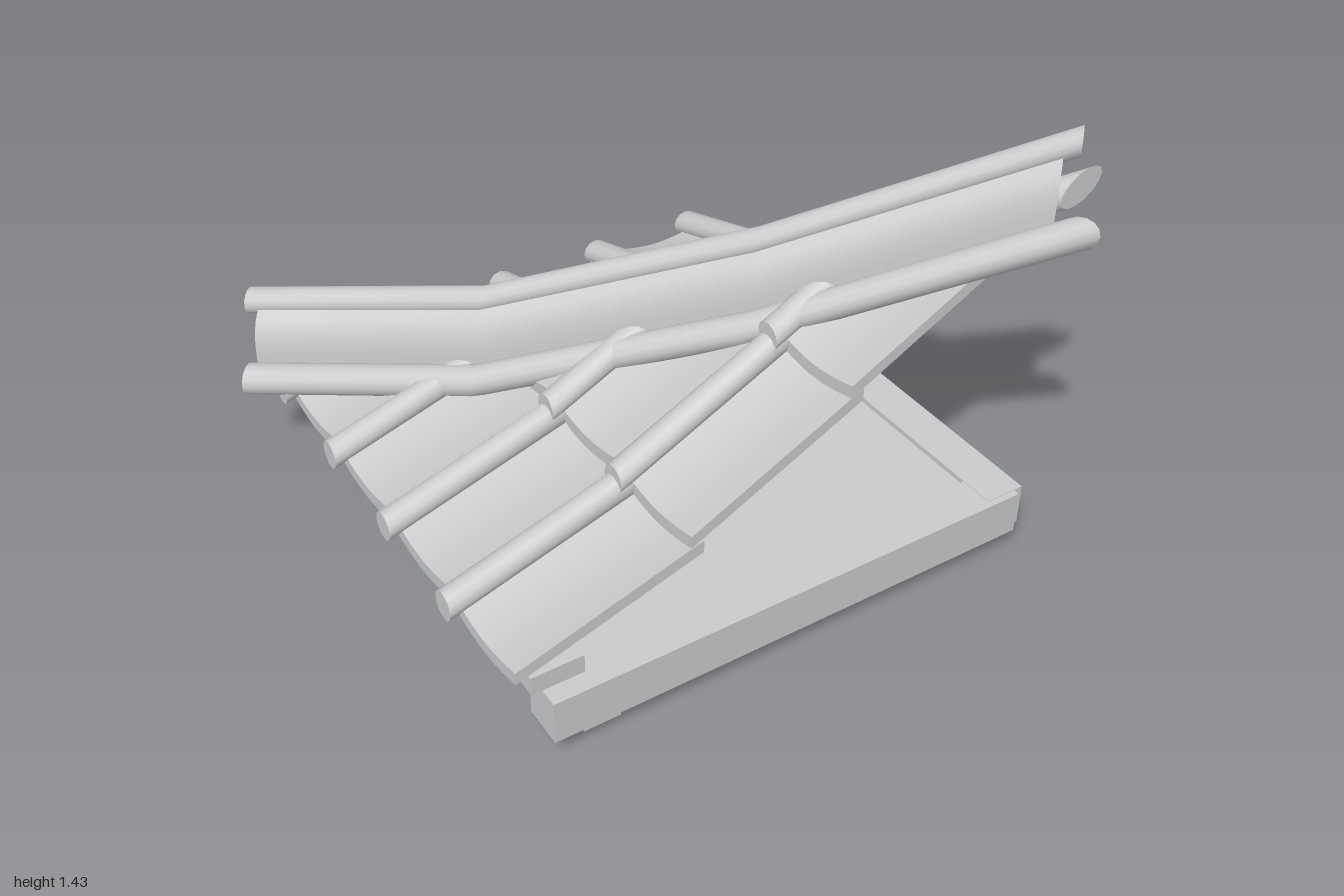
import * as THREE from 'three';
import { toCreasedNormals } from 'three/addons/utils/BufferGeometryUtils.js';

const material = new THREE.MeshStandardMaterial({ color: 0xcccccc, side: THREE.DoubleSide });

function addMesh(parent, name, geometry) {
  const mesh = new THREE.Mesh(geometry, material);
  mesh.name = name;
  parent.add(mesh);
  return mesh;
}

// Box given by its lower and upper corners
function addBox(parent, name, [x0, y0, z0], [x1, y1, z1]) {
  const mesh = addMesh(parent, name, new THREE.BoxGeometry(x1 - x0, y1 - y0, z1 - z0));
  mesh.position.set((x0 + x1) / 2, (y0 + y1) / 2, (z0 + z1) / 2);
}

// Closed skin through a row of equal-sized rings, capped at both ends
function loft(rings) {
  const n = rings[0].length;
  const positions = rings.flat(2);
  const index = [];
  for (let i = 0; i < rings.length - 1; i++) {
    for (let k = 0; k < n; k++) {
      const a = i * n + k, b = i * n + (k + 1) % n;
      index.push(a, a + n, b + n, a, b + n, b);
    }
  }
  const last = (rings.length - 1) * n;
  for (let k = 1; k < n - 1; k++) {
    index.push(0, k, k + 1, last, last + k + 1, last + k);
  }
  const geometry = new THREE.BufferGeometry();
  geometry.setAttribute('position', new THREE.Float32BufferAttribute(positions, 3));
  geometry.setIndex(index);
  return toCreasedNormals(geometry, 0.7);
}

// Courses of tiles: start and end of each as [distance, height]
const courses = [
  [[-0.85, 0.31], [-0.28, 0.49]],
  [[-0.32, 0.52], [0.22, 0.79]],
  [[0.18, 0.81], [0.76, 1.12]],
];
const TILE = 0.375, ROLL = 0.045;

// One slope rising toward +x; hip(z) is where each line of tiles meets the hip
function tiledSlope(name, firstColumn, hip) {
  const slope = new THREE.Group();
  slope.name = name;
  for (const [[d0, y0], [d1, y1]] of courses) {
    const height = d => y0 + (y1 - y0) * (d - d0) / (d1 - d0);
    for (let column = 0; column < 4; column++) {
      const z0 = firstColumn + column * TILE;

      // sagging pan
      const rings = [];
      for (let i = 0; i <= 16; i++) {
        const z = z0 + TILE * i / 16;
        const end = Math.min(d1, hip(z));
        if (end <= d0) continue;
        const sag = 0.032 * Math.sin(Math.PI * i / 16);
        const top = d => height(d) - sag;
        rings.push([
          [d0, top(d0), z], [end, top(end), z],
          [end, top(end) - 0.04, z], [d0, top(d0) - 0.04, z],
        ]);
      }
      if (rings.length > 1) addMesh(slope, 'tilePan', loft(rings));

      // round roll along the edge, standing proud of the pan
      const z = z0 + ROLL;
      const start = d0 - 0.04, end = Math.min(d1, hip(z));
      if (end - d0 < 0.12) continue;
      const ring = d => Array.from({ length: 12 }, (_, k) => {
        const a = k / 12 * Math.PI * 2;
        return [d, height(d) + ROLL * Math.sin(a), z + ROLL * Math.cos(a)];
      });
      addMesh(slope, 'tileRoll', loft([ring(start), ring(end)]));
    }
  }
  return slope;
}

// Hip line along the diagonal x = z, as [diagonal, height]
const hipLine = [[-0.9, 0.53], [-0.35, 0.65], [0.23, 0.97], [0.82, 1.39]];

function hipHeight(t) {
  let i = 0;
  while (i < 2 && t > hipLine[i + 1][0]) i++;
  const [t0, y0] = hipLine[i], [t1, y1] = hipLine[i + 1];
  return y0 + (y1 - y0) * (t - t0) / (t1 - t0);
}

// Sweeps a section of [sideways, up] points along the hip
function hipSweep(section, start, endAt) {
  const stations = [() => start, () => -0.35, () => 0.23, endAt];
  return loft(stations.map(at => section.map(([o, h]) => {
    const t = at(o);
    return [t + o * Math.SQRT1_2, hipHeight(t) + h, t - o * Math.SQRT1_2];
  })));
}

const roundSection = (o, h, r) => Array.from({ length: 14 }, (_, k) => {
  const a = k / 14 * Math.PI * 2;
  return [o + r * Math.cos(a), h - r * Math.sin(a)];
});

export function createModel() {
  const model = new THREE.Group();
  model.name = 'roofCorner';

  // Timber frame: wall plates on the two eave sides, beams on the open sides
  const frame = new THREE.Group();
  frame.name = 'frame';
  model.add(frame);
  addBox(frame, 'leftWallPlate', [-0.66, 0, -0.67], [-0.545, 0.21, 0.76]);
  addBox(frame, 'backWallPlate', [-0.545, 0, -0.67], [0.775, 0.21, -0.565]);
  addBox(frame, 'frontBeam', [-0.775, 0.07, 0.68], [0.8, 0.21, 0.81]);
  addBox(frame, 'rightBeam', [0.7, 0.075, -0.8], [0.83, 0.212, 0.79]);
  addBox(frame, 'ceilingPanel', [-0.56, 0.14, -0.58], [0.72, 0.195, 0.7]);
  addBox(frame, 'leftEaveBoard', [-0.81, 0.215, -0.815], [-0.65, 0.275, 0.755]);
  addBox(frame, 'backEaveBoard', [-0.65, 0.215, -0.815], [0.775, 0.275, -0.66]);

  // Two tiled slopes, the second turned a quarter
  model.add(tiledSlope('leftSlope', -0.75, z => z));
  const back = tiledSlope('backSlope', -0.775, z => -z);
  back.rotation.y = -Math.PI / 2;
  model.add(back);

  // Hip ridge: arched body, top roll and two side rolls cut flush with the open sides
  const ridge = new THREE.Group();
  ridge.name = 'hipRidge';
  model.add(ridge);
  const half = [[0.035, -0.01], [0.065, -0.04], [0.085, -0.09], [0.09, -0.15], [0.09, -0.25]];
  const body = [...half.map(([o, h]) => [-o, h]).reverse(), ...half];
  addMesh(ridge, 'ridgeBody', hipSweep(body, -0.86, () => 0.79));
  addMesh(ridge, 'topRoll', hipSweep(roundSection(0, 0, 0.042), -0.89, () => 0.82));
  for (const side of [-1, 1]) {
    addMesh(ridge, 'sideRoll', hipSweep(roundSection(side * 0.122, -0.215, 0.05), -0.875,
      o => 0.75 + Math.abs(o) * Math.SQRT1_2));
  }
  return model;
}
